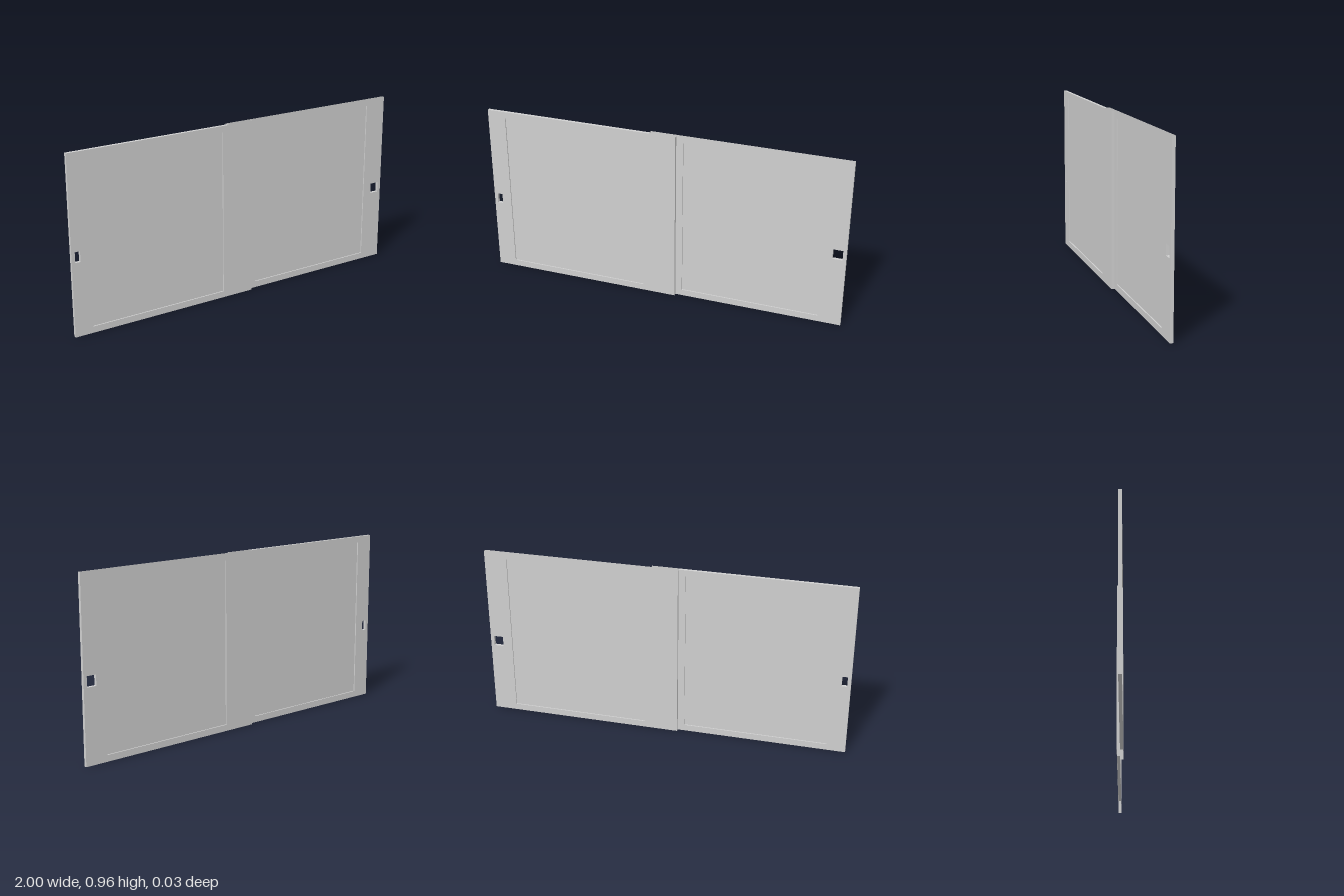
import * as THREE from 'three';

const HEIGHT = 0.965;
const THICK = 0.017;
const OVERLAP = -0.073; // long edges stay open from here to the right

function rectangle(target, x0, x1, y0, y1) {
  target.moveTo(x0, y0);
  target.lineTo(x1, y0);
  target.lineTo(x1, y1);
  target.lineTo(x0, y1);
  target.closePath();
  return target;
}

// Removes the top and bottom edge triangles right of the overlap line
function openEdges(geometry) {
  const p = geometry.attributes.position, n = geometry.attributes.normal;
  const points = [], normals = [];
  for (let i = 0; i < p.count; i += 3) {
    const middle = (p.getX(i) + p.getX(i + 1) + p.getX(i + 2)) / 3;
    const outerEdge = p.getY(i) < 0.001 || p.getY(i) > HEIGHT - 0.001;
    if (Math.abs(n.getY(i)) > 0.9 && outerEdge && middle > OVERLAP) continue;
    for (let k = i; k < i + 3; k++) {
      points.push(p.getX(k), p.getY(k), p.getZ(k));
      normals.push(n.getX(k), n.getY(k), n.getZ(k));
    }
  }
  const result = new THREE.BufferGeometry();
  result.setAttribute('position', new THREE.Float32BufferAttribute(points, 3));
  result.setAttribute('normal', new THREE.Float32BufferAttribute(normals, 3));
  return result;
}

function makeDoor(name, material, { x0, x1, z, recess, pull }) {
  const door = new THREE.Group();
  door.name = name;
  const bottom = 0.035, top = 0.93;

  // Frame with the panel opening and the through-cut finger pull
  const outline = new THREE.Shape();
  outline.moveTo(x0, 0);
  if (x0 < OVERLAP) outline.lineTo(OVERLAP, 0);
  outline.lineTo(x1, 0);
  outline.lineTo(x1, HEIGHT);
  if (x0 < OVERLAP) outline.lineTo(OVERLAP, HEIGHT);
  outline.lineTo(x0, HEIGHT);
  outline.closePath();
  outline.holes.push(
    rectangle(new THREE.Path(), recess[0], recess[1], bottom, top),
    rectangle(new THREE.Path(), pull[0], pull[1], 0.4, 0.457)
  );
  const extruded = new THREE.ExtrudeGeometry(outline, { depth: THICK, bevelEnabled: false });
  const frame = new THREE.Mesh(openEdges(extruded), material);
  frame.name = 'doorFrame';
  frame.position.z = z;

  // Thin panel recessed on both sides
  const panel = new THREE.Mesh(
    new THREE.BoxGeometry(recess[1] - recess[0], top - bottom, 0.004), material);
  panel.name = 'recessedPanel';
  panel.position.set((recess[0] + recess[1]) / 2, (bottom + top) / 2, z + THICK / 2);

  door.add(frame, panel);
  return door;
}

export function createModel() {
  const model = new THREE.Group();
  model.name = 'slidingDoors';
  const grey = new THREE.MeshStandardMaterial({ color: 0xcfcfcf, side: THREE.DoubleSide });
  grey.name = 'lightGrey';

  model.add(
    makeDoor('frontDoor', grey, {
      x0: -1, x1: 0.073, z: 0, recess: [-0.899, -0.11], pull: [-0.981, -0.952]
    }),
    makeDoor('backDoor', grey, {
      x0: OVERLAP, x1: 1, z: -THICK, recess: [0.11, 0.875], pull: [0.928, 0.981]
    })
  );
  return model;
}
